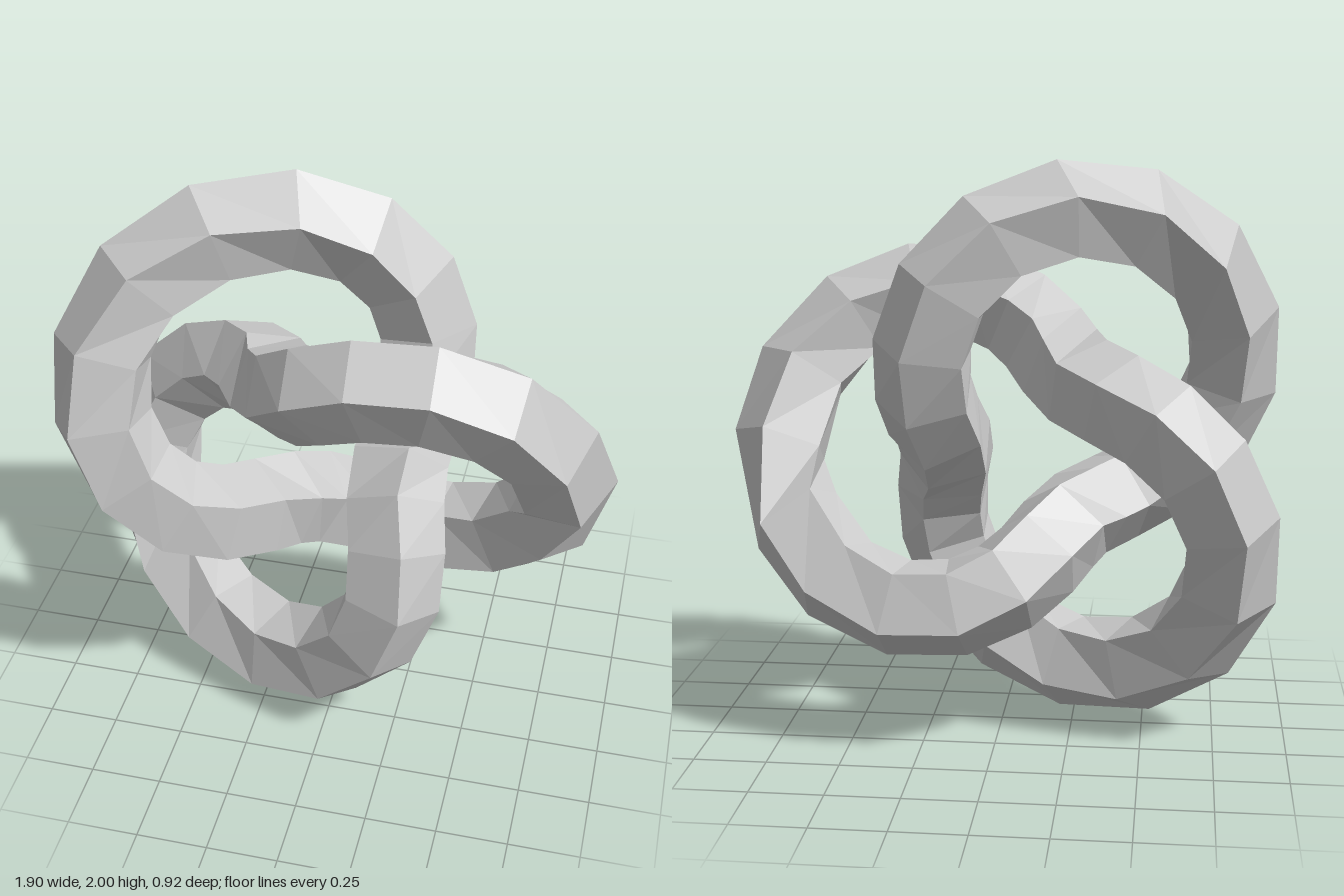
import * as THREE from 'three';

const RINGS = 44;      // sections along the knot
const SIDES = 5;       // pentagonal section
const RADIUS = 0.587;  // mean radius of the knot
const TUBE = 0.176;    // radius of the tube
const CENTRE = new THREE.Vector3(-0.1, 1, 0);
const FORWARD = new THREE.Vector3(0, 0, 1);

// Centre line of a trefoil: twice round the axis, three lobes
function knotPoint(i) {
  const u = (i / RINGS) * Math.PI * 4;
  const r = RADIUS * (1 + 0.5 * Math.cos(1.5 * u));
  return new THREE.Vector3(r * Math.cos(u), r * Math.sin(u), 0.5 * RADIUS * Math.sin(1.5 * u)).add(CENTRE);
}

// Pentagon rings square to the path, one corner always pointing outward in the front plane
function knotGeometry() {
  const positions = [];
  const indices = [];
  for (let i = 0; i < RINGS; i++) {
    const centre = knotPoint(i);
    // The first and last rings lean, following a one-sided direction
    const before = knotPoint(Math.max(i - 1, 0));
    const tangent = knotPoint(Math.min(i + 1, RINGS - 1)).sub(before).normalize();
    const outward = tangent.clone().cross(FORWARD).normalize();
    const across = tangent.clone().cross(outward);

    for (let j = 0; j < SIDES; j++) {
      const angle = (j / SIDES) * Math.PI * 2;
      const corner = centre.clone()
        .addScaledVector(outward, TUBE * Math.cos(angle))
        .addScaledVector(across, TUBE * Math.sin(angle));
      positions.push(...corner.toArray());

      // Join to the next ring; the last ring closes on the first
      const nextRing = ((i + 1) % RINGS) * SIDES;
      const nextSide = (j + 1) % SIDES;
      const a = i * SIDES + j;
      const b = nextRing + j;
      const c = nextRing + nextSide;
      const d = i * SIDES + nextSide;
      indices.push(a, c, b, a, d, c);
    }
  }
  const geometry = new THREE.BufferGeometry();
  geometry.setAttribute('position', new THREE.Float32BufferAttribute(positions, 3));
  geometry.setIndex(indices);
  geometry.computeVertexNormals();
  return geometry;
}

export function createModel() {
  const group = new THREE.Group();
  group.name = 'trefoilKnot';
  const material = new THREE.MeshStandardMaterial({ color: 0xcccccc, flatShading: true });
  const knot = new THREE.Mesh(knotGeometry(), material);
  knot.name = 'knotTube';
  group.add(knot);
  return group;
}
